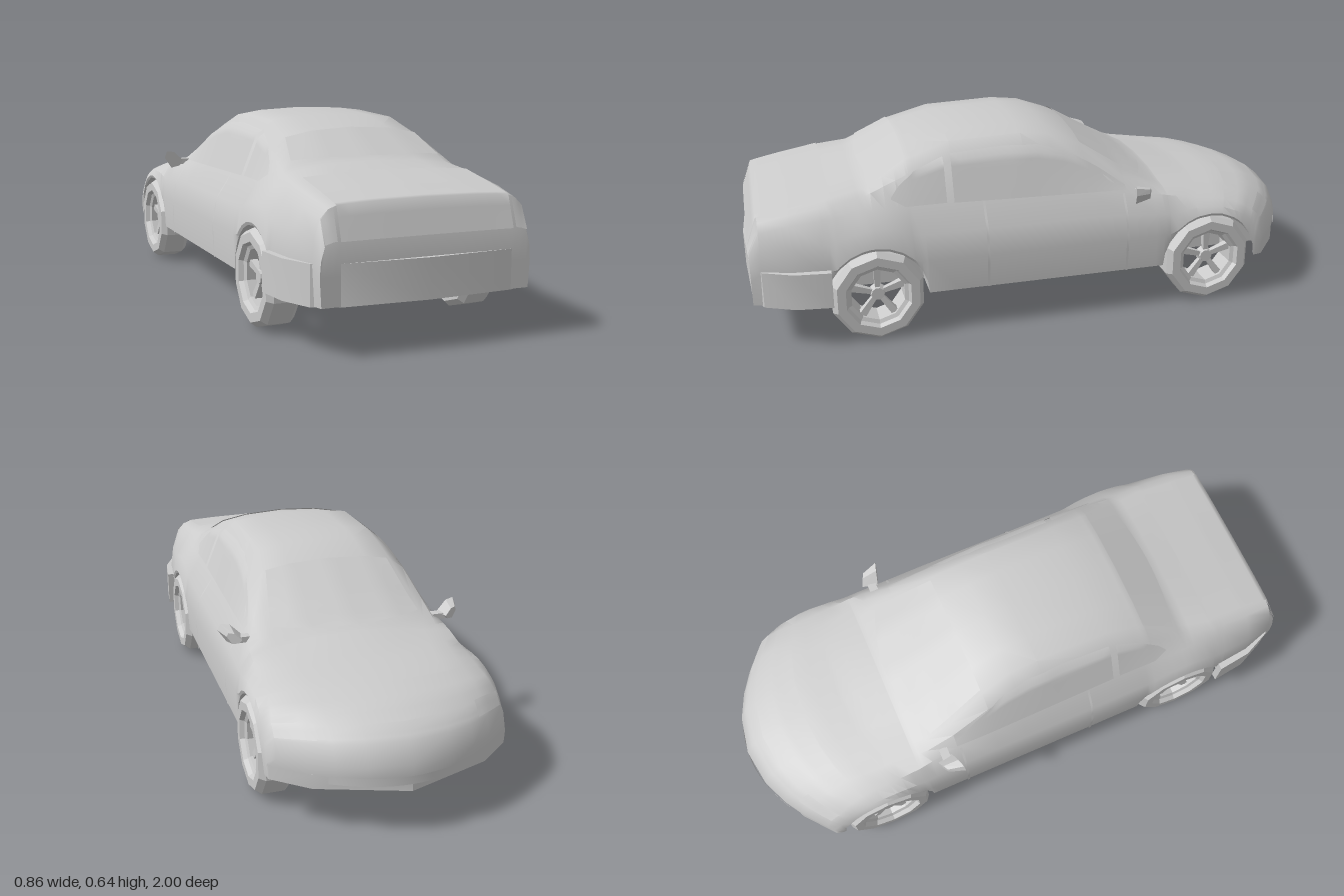
import * as THREE from 'three';
import { toCreasedNormals } from 'three/addons/utils/BufferGeometryUtils.js';

const grey = new THREE.MeshStandardMaterial({ color: 0xcccccc, side: THREE.DoubleSide });
const facet = new THREE.MeshStandardMaterial({ color: 0xcccccc, side: THREE.DoubleSide, flatShading: true });
const lerp = THREE.MathUtils.lerp;
const FLOOR = 0.152, AXLES = [-0.6, 0.58], ARCH = 0.172;

// Body stations: z, top y, roof edge x, y, belt x, y, half width
const STATIONS = [
  [-1.0, 0.24, 0.22, 0.237, 0.37, 0.23, 0.395],
  [-0.97, 0.305, 0.22, 0.295, 0.37, 0.28, 0.4],
  [-0.92, 0.345, 0.22, 0.335, 0.37, 0.315, 0.4],
  [-0.85, 0.375, 0.22, 0.365, 0.36, 0.345, 0.4],
  [-0.75, 0.397, 0.22, 0.388, 0.35, 0.365, 0.4],
  [-0.6, 0.415, 0.23, 0.405, 0.35, 0.38, 0.4],
  [-0.45, 0.445, 0.25, 0.42, 0.35, 0.4, 0.4],
  [-0.4, 0.465, 0.27, 0.437, 0.345, 0.41, 0.4],
  [-0.3, 0.52, 0.268, 0.485, 0.338, 0.42, 0.4],
  [-0.16, 0.6, 0.235, 0.575, 0.335, 0.43, 0.4],
  [-0.05, 0.638, 0.22, 0.618, 0.335, 0.43, 0.4],
  [0.05, 0.645, 0.22, 0.63, 0.335, 0.43, 0.4],
  [0.3, 0.637, 0.22, 0.622, 0.335, 0.43, 0.4],
  [0.45, 0.603, 0.235, 0.577, 0.335, 0.435, 0.4],
  [0.6, 0.52, 0.265, 0.497, 0.335, 0.44, 0.4],
  [0.71, 0.492, 0.285, 0.48, 0.34, 0.43, 0.4],
  [0.85, 0.465, 0.285, 0.455, 0.34, 0.42, 0.385],
  [0.95, 0.442, 0.28, 0.435, 0.33, 0.4, 0.355],
  [0.985, 0.335, 0.28, 0.334, 0.33, 0.325, 0.345],
];

// Piecewise linear lookup in rows sorted by their first number
function lookup(rows, t) {
  let i = 0;
  while (i < rows.length - 2 && t > rows[i + 1][0]) i++;
  const [a, b] = [rows[i], rows[i + 1]];
  const k = THREE.MathUtils.clamp((t - a[0]) / (b[0] - a[0]), 0, 1);
  return a.map((v, n) => lerp(v, b[n], k));
}

// The nose sweeps back towards its corners
const bow = (z, x) => z + Math.max(0, -0.45 - z) * (0.2 / 0.55) * (x / 0.4) ** 2;

// Half cross-section from top centre, down the side, round the wheel well to the floor centre
function section(z) {
  const [, yt, xe, ye, xb, yB, w] = lookup(STATIONS, z);
  let low = FLOOR;
  for (const c of AXLES) {
    const d = bow(z, 0.4) - c;
    if (Math.abs(d) < ARCH) low = FLOOR + Math.sqrt(ARCH * ARCH - d * d);
  }
  const mid = Math.max(low + 0.01, Math.min(0.27, lerp(FLOOR, yB, 0.5)));
  return [
    [0, yt], [0.6 * xe, lerp(yt, ye, 0.3)], [xe, ye],
    [lerp(xe, xb, 0.5), lerp(ye, yB, 0.25)], [xb, yB],
    [lerp(xb, w, 0.75), lerp(mid, yB, 0.55)], [w, mid], [w - 0.005, low],
    [0.28, low], [0.28, FLOOR], [0, FLOOR],
  ];
}

// Points on the body skin, lifted slightly
function onTop(z, x) {
  const y = lookup(section(z).slice(0, 6), Math.abs(x))[1];
  return [x, y + 0.004, bow(z, x) + (z > 0.94 ? 0.004 : 0)];
}
function onSide(z, y) {
  const rows = section(z).slice(2, 8).reverse().map(([x, h]) => [h, x]);
  return [lookup(rows, y)[1] + 0.004, y, z];
}

// Grid surface from a function of u and v in 0..1
function patch(name, fn, nu = 12, nv = 8) {
  const geo = new THREE.PlaneGeometry(1, 1, nu, nv), p = geo.attributes.position;
  for (let i = 0; i < p.count; i++) p.setXYZ(i, ...fn(p.getX(i) + 0.5, p.getY(i) + 0.5));
  geo.computeVertexNormals();
  return named(name, geo);
}

function named(name, geo, mat = grey) {
  const mesh = new THREE.Mesh(geo, mat);
  mesh.name = name;
  return mesh;
}

function bodyShell() {
  const zs = STATIONS.map((s) => s[0]);
  for (const c of AXLES) {
    for (let a = 0; a <= 180; a += 15) {
      const side = c + ARCH * Math.cos((a * Math.PI) / 180);
      zs.push(side < -0.45 ? -0.45 + ((side + 0.45) * 0.55) / 0.35 : side);
    }
  }
  zs.sort((a, b) => a - b);
  const rings = zs.map((z) => section(z).map(([x, y]) => [x, y, bow(z, x)]));
  // Close both ends by folding the end ring to a line
  const fold = (ring, y) => ring.map(([x, , z]) => [x, y, z]);
  rings.unshift(fold(rings[0], 0.2));
  rings.push(fold(rings[rings.length - 1], 0.24));

  const pos = [], idx = [], n = 21;
  for (const half of rings) {
    const left = half.slice(1).reverse().map(([x, y, z]) => [-x, y, z]);
    pos.push(...[...left, ...half].flat());
  }
  for (let i = 0; i < rings.length - 1; i++) {
    for (let j = 0; j < n - 1; j++) {
      const a = i * n + j, c = a + n;
      idx.push(a, c, a + 1, a + 1, c, c + 1);
    }
  }
  const geo = new THREE.BufferGeometry();
  geo.setAttribute('position', new THREE.Float32BufferAttribute(pos, 3));
  geo.setIndex(idx);
  return named('body', toCreasedNormals(geo, 0.6));
}

// Wheel with its outer face towards +x
function wheel() {
  const g = new THREE.Group();
  const profile = [[0.093, -0.05], [0.105, -0.057], [0.142, -0.057], [0.16, -0.038], [0.16, 0.036],
    [0.144, 0.057], [0.114, 0.057], [0.106, 0.042], [0.093, 0.036], [0.093, -0.05]];
  const tyre = new THREE.LatheGeometry(profile.map(([r, a]) => new THREE.Vector2(r, a)), 10, Math.PI / 2);
  g.add(named('tyre', tyre.rotateZ(-Math.PI / 2), facet));
  g.add(named('hub', new THREE.CylinderGeometry(0.022, 0.028, 0.03, 10).rotateZ(-Math.PI / 2).translate(0.015, 0, 0), facet));
  for (let i = 0; i < 5; i++) {
    const spoke = new THREE.CylinderGeometry(0.018, 0.011, 0.085, 4, 1).rotateY(Math.PI / 4);
    spoke.translate(0.014, 0.055, 0).rotateX((i * 2 * Math.PI) / 5);
    g.add(named('spoke', spoke, facet));
  }
  return g;
}

// Rear bumper wrapping round the corners
function rearBumper() {
  const outer = [[0.42, 0.73], [0.405, 0.85], [0.36, 0.95], [0.28, 0.985], [0, 1]];
  const inner = [[0, 0.95], [0.27, 0.94], [0.33, 0.9], [0.37, 0.82], [0.395, 0.73]];
  const flip = (a) => a.slice().reverse().map(([x, z]) => [-x, z]);
  const ring = [...outer, ...flip(outer).slice(1), ...flip(inner), ...inner.slice(1)];
  const shape = new THREE.Shape(ring.map(([x, z]) => new THREE.Vector2(x, z)));
  const geo = new THREE.ExtrudeGeometry(shape, { depth: 0.125, bevelEnabled: false });
  return named('rearBumper', toCreasedNormals(geo.rotateX(Math.PI / 2).translate(0, 0.275, 0), 0.5));
}

// Everything that appears on both sides, built for +x
function sideParts() {
  const g = new THREE.Group();
  const glass = (name, top, bottom) => patch(name, (u, v) => {
    const z = lerp(top[0][0], top[top.length - 1][0], u);
    return onSide(z, lerp(lookup(bottom, z)[1], lookup(top, z)[1], v));
  }, 20, 8);
  g.add(glass('doorWindow',
    [[-0.3, 0.445], [-0.2, 0.515], [-0.1, 0.57], [0, 0.597], [0.12, 0.602], [0.305, 0.592]],
    [[-0.3, 0.43], [0.305, 0.443]]));
  g.add(glass('quarterWindow',
    [[0.33, 0.585], [0.43, 0.55], [0.49, 0.505], [0.515, 0.475]],
    [[0.33, 0.445], [0.47, 0.445], [0.515, 0.47]]));
  for (const [z, top] of [[0.205, 0.44], [-0.29, 0.42]]) {
    g.add(patch('doorSeam', (u, v) => onSide(z + (u - 0.5) * 0.008, lerp(FLOOR, top, v)), 1, 10));
  }
  g.add(patch('headlight', (u, v) => onTop(lerp(-0.965, -0.915, v), lerp(0.26, 0.37, u)), 6, 4));
  g.add(patch('tailLight', (u, v) => onTop(lerp(0.984, 0.952, v), lerp(0.292, 0.33, u)), 3, 3));

  // Door mirror, tapering towards the nose
  const outline = [[0.35, 0.425], [0.365, 0.405], [0.4, 0.4], [0.428, 0.44], [0.418, 0.463], [0.388, 0.46]];
  const shape = new THREE.Shape(outline.map(([x, y]) => new THREE.Vector2(x, y)));
  const geo = new THREE.ExtrudeGeometry(shape, { depth: 0.055, bevelEnabled: false });
  const p = geo.attributes.position;
  for (let i = 0; i < p.count; i++) {
    const k = p.getZ(i) > 0.01 ? 1 : 0.6, x = p.getX(i);
    p.setXYZ(i, lerp(0.38, x, k), lerp(0.43, p.getY(i), k), p.getZ(i) - 0.375 + (x - 0.38) * 0.3);
  }
  geo.computeVertexNormals();
  g.add(named('mirror', geo, facet));
  g.add(named('mirrorArm', new THREE.BoxGeometry(0.05, 0.02, 0.03).translate(0.345, 0.42, -0.35), facet));
  return g;
}

export function createModel() {
  const car = new THREE.Group();
  car.name = 'car';
  car.add(bodyShell(), rearBumper());

  // Glass, boot lid and front intake
  const s = (u) => 2 * u - 1;
  car.add(patch('windscreen', (u, v) =>
    onTop(lerp(-0.43 + 0.06 * s(u) ** 2, -0.162, v), s(u) * lerp(0.262, 0.222, v)), 16, 12));
  car.add(patch('rearWindow', (u, v) =>
    onTop(lerp(0.595 - 0.03 * s(u) ** 2, 0.452, v), s(u) * lerp(0.262, 0.235, v)), 16, 10));
  car.add(patch('bootLid', (u, v) => onTop(lerp(0.71, 0.985, v), s(u) * 0.282), 16, 24));
  car.add(patch('frontIntake', (u, v) => {
    const x = s(u) * 0.24;
    return [x, lerp(0.178, 0.205, v), bow(-1, x) - 0.003];
  }, 16, 1));

  for (const side of [1, -1]) {
    const parts = sideParts();
    parts.name = side > 0 ? 'leftSide' : 'rightSide';
    parts.scale.x = side;
    car.add(parts);
    for (const z of AXLES) {
      const w = wheel();
      w.name = (z < 0 ? 'noseWheel' : 'tailWheel') + (side > 0 ? 'Left' : 'Right');
      w.position.set(side * 0.347, 0.16, z);
      if (side < 0) w.rotation.y = Math.PI;
      car.add(w);
    }
  }
  return car;
}
